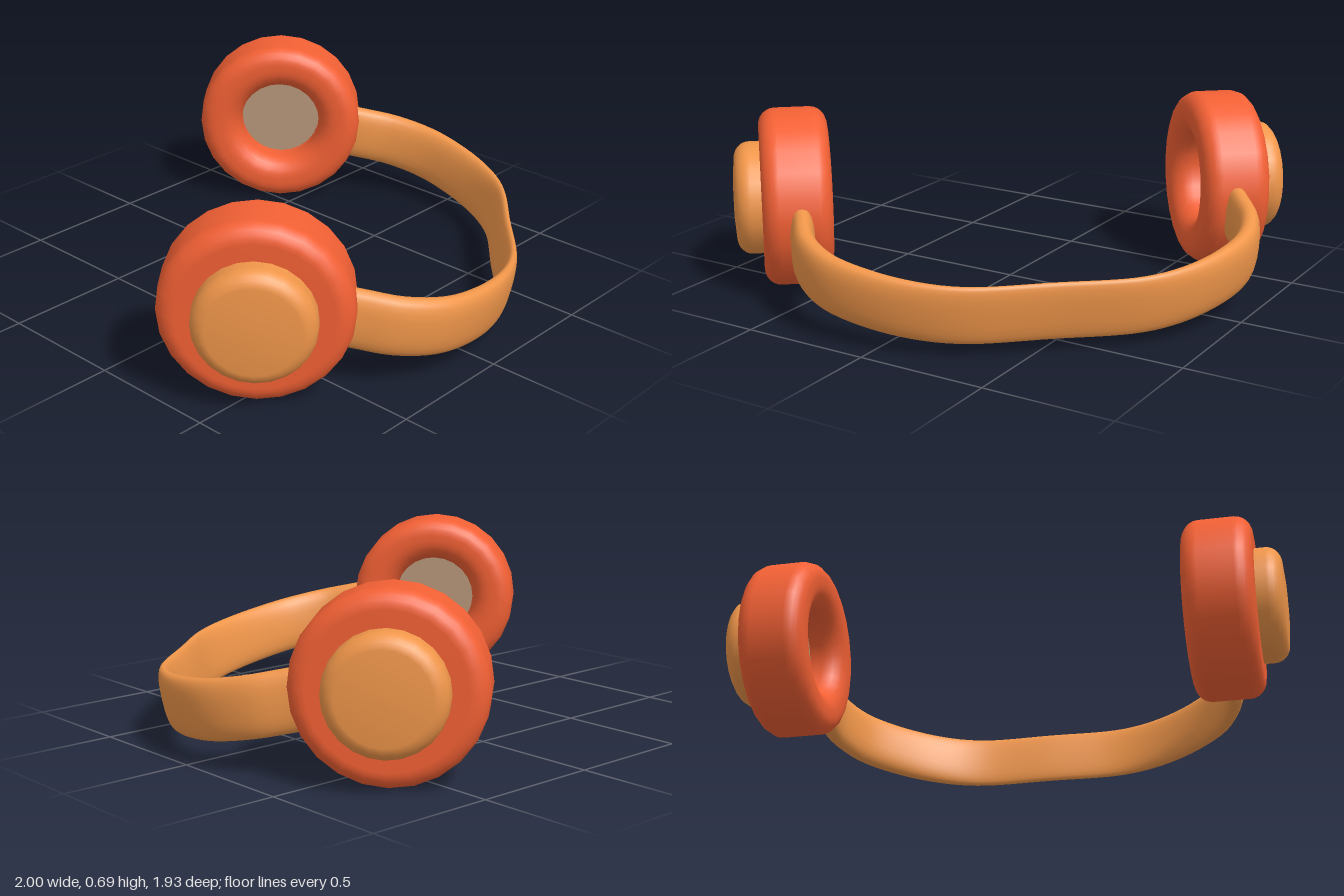
import * as THREE from 'three';
import { ParametricGeometry } from 'three/addons/geometries/ParametricGeometry.js';

const red = new THREE.MeshStandardMaterial({ color: 0xf26034 });
const orange = new THREE.MeshStandardMaterial({ color: 0xf0964a });
const tan = new THREE.MeshStandardMaterial({ color: 0xb8977a, side: THREE.DoubleSide });

const CUP_X = 0.855, CUP_Y = 0.3475, TILT = 0.205;

// Rounded quarter corner of a lathe profile, centred on (cx, cy)
function corner(cx, cy, rx, ry, from, to, steps = 6) {
  return Array.from({ length: steps + 1 }, (_, i) => {
    const a = THREE.MathUtils.degToRad(from + (to - from) * i / steps);
    return new THREE.Vector2(cx + rx * Math.cos(a), cy + ry * Math.sin(a));
  });
}

function addMesh(parent, name, geometry, material) {
  const mesh = new THREE.Mesh(geometry, material);
  mesh.name = name;
  parent.add(mesh);
  return mesh;
}

// Ear cup, with its outward axis along local +y
function createEarCup(name) {
  const cup = new THREE.Group();
  cup.name = name;
  const v = (x, y) => new THREE.Vector2(x, y);

  // Cushion ring: hole wall, rounded inner lip, rim and flat back
  const ring = [
    v(0.17, 0.01),
    ...corner(0.255, -0.05, 0.085, 0.085, 180, 270),
    ...corner(0.28, -0.07, 0.0675, 0.065, 270, 360),
    ...corner(0.28, 0.065, 0.0675, 0.065, 0, 90),
    v(0, 0.13),
  ];
  addMesh(cup, 'cushion', new THREE.LatheGeometry(ring, 24), red);

  // Speaker disc at the bottom of the hole
  const disc = addMesh(cup, 'speaker', new THREE.CircleGeometry(0.175, 24), tan);
  disc.rotation.x = Math.PI / 2;

  // Round cover on the outside
  const cover = [
    v(0.22, 0.11),
    ...corner(0.155, 0.17, 0.065, 0.06, 0, 80),
    v(0.08, 0.236), v(0, 0.237),
  ];
  addMesh(cup, 'outerCover', new THREE.LatheGeometry(cover, 24), orange);
  return cup;
}

// Flat headband swept along a mirrored curve in the xz plane
function createHeadband() {
  const half = [[0.84, 0.22], [0.84, 0.36], [0.835, 0.5], [0.77, 0.655],
    [0.64, 0.785], [0.475, 0.885], [0.31, 0.934]];
  const points = [
    ...half.map(([x, z]) => new THREE.Vector3(-x, 0, z)),
    new THREE.Vector3(0, 0, 0.937),
    ...half.map(([x, z]) => new THREE.Vector3(x, 0, z)).reverse(),
  ];
  const curve = new THREE.CatmullRomCurve3(points);
  const p = new THREE.Vector3(), t = new THREE.Vector3();

  // Rounded section, thinner towards the middle of the band
  const surface = (u, v, target) => {
    const k = THREE.MathUtils.clamp(u, 0, 1);
    curve.getPointAt(k, p);
    curve.getTangentAt(k, t);
    const thick = THREE.MathUtils.lerp(0.045, 0.09, THREE.MathUtils.smoothstep(Math.abs(p.x), 0.2, 0.8));
    const a = v * Math.PI * 2, c = Math.cos(a), s = Math.sin(a);
    const across = Math.sign(c) * Math.abs(c) ** 0.8 * thick / 2;
    const up = Math.sign(s) * Math.abs(s) ** 0.8 * 0.115;
    target.set(p.x - t.z * across, up, p.z + t.x * across);
  };
  return new ParametricGeometry(surface, 64, 24);
}

export function createModel() {
  const model = new THREE.Group();
  model.name = 'headphones';

  // The whole set lies turned on the ground
  const body = new THREE.Group();
  body.name = 'body';
  body.position.set(-0.05, CUP_Y, -0.08);
  body.rotation.y = 0.715;
  model.add(body);

  for (const side of [-1, 1]) {
    const cup = createEarCup(side > 0 ? 'leftEarCup' : 'rightEarCup');
    cup.position.x = side * CUP_X;
    cup.rotation.z = -side * Math.PI / 2;
    body.add(cup);
  }

  // The headband droops to the ground away from the cups
  const band = addMesh(body, 'headband', createHeadband(), orange);
  band.rotation.x = TILT;
  return model;
}
